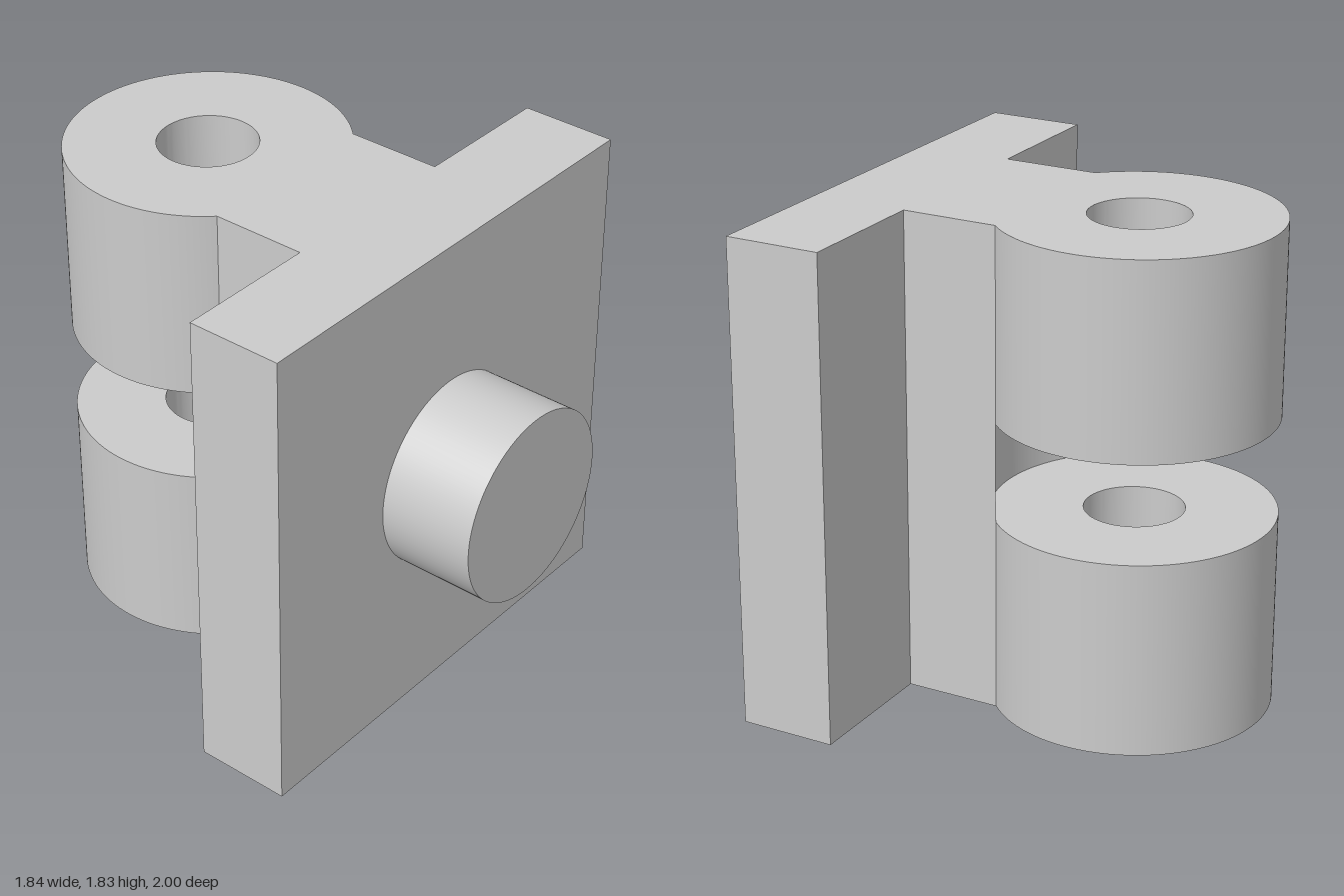
import * as THREE from 'three';
import { toCreasedNormals } from 'three/addons/utils/BufferGeometryUtils.js';

const HEIGHT = 1.825;
const SLOT = [0.73, 1.10];          // bottom and top of the gap between the knuckles
const RING = 0.515, HOLE = 0.183;   // knuckle radii
const WEB = 0.365;                  // half width of the web
const PLATE_BACK = 0.727, PLATE_FRONT = 1.09;

const material = new THREE.MeshStandardMaterial({ color: 0xcccccc });

function addMesh(parent, name, geometry) {
  const mesh = new THREE.Mesh(geometry, material);
  mesh.name = name;
  parent.add(mesh);
  return mesh;
}

// Plan outline of the web, ending in a round knuckle or in a hollow that clears one
function webShape(withKnuckle) {
  const a = Math.acos(WEB / RING);
  const shape = new THREE.Shape();
  shape.moveTo(-WEB, PLATE_BACK);
  shape.lineTo(WEB, PLATE_BACK);
  shape.absarc(0, 0, RING, a, Math.PI - a, withKnuckle);
  shape.closePath();
  if (withKnuckle) {
    const hole = new THREE.Path();
    hole.absarc(0, 0, HOLE, 0, Math.PI * 2, false);
    shape.holes.push(hole);
  }
  return shape;
}

// Extrude a plan outline between two heights
function slab(shape, bottom, top) {
  const geometry = new THREE.ExtrudeGeometry(shape, {
    depth: top - bottom, bevelEnabled: false, curveSegments: 64,
  });
  geometry.rotateX(Math.PI / 2).translate(0, top, 0);
  return toCreasedNormals(geometry, 0.5);
}

export function createModel() {
  const model = new THREE.Group();
  model.name = 'hingeBracket';

  // The bracket is turned slightly about the knuckle axis
  const bracket = new THREE.Group();
  bracket.name = 'bracket';
  bracket.position.set(-0.08, 0, -0.485);
  bracket.rotation.y = THREE.MathUtils.degToRad(4.75);
  model.add(bracket);

  // Fork: two bored knuckles joined by the web
  addMesh(bracket, 'lowerKnuckle', slab(webShape(true), 0, SLOT[0]));
  addMesh(bracket, 'web', slab(webShape(false), SLOT[0], SLOT[1]));
  addMesh(bracket, 'upperKnuckle', slab(webShape(true), SLOT[1], HEIGHT));

  // Mounting plate
  const thickness = PLATE_FRONT - PLATE_BACK;
  const plate = addMesh(bracket, 'plate', new THREE.BoxGeometry(1.821, HEIGHT, thickness));
  plate.position.set(0, HEIGHT / 2, PLATE_BACK + thickness / 2);

  // Round peg on the front of the plate
  const pegLength = 0.365;
  const peg = addMesh(bracket, 'peg',
    new THREE.CylinderGeometry(0.363, 0.363, pegLength, 96).rotateX(Math.PI / 2));
  peg.position.set(0, HEIGHT / 2, PLATE_FRONT + pegLength / 2);

  return model;
}
